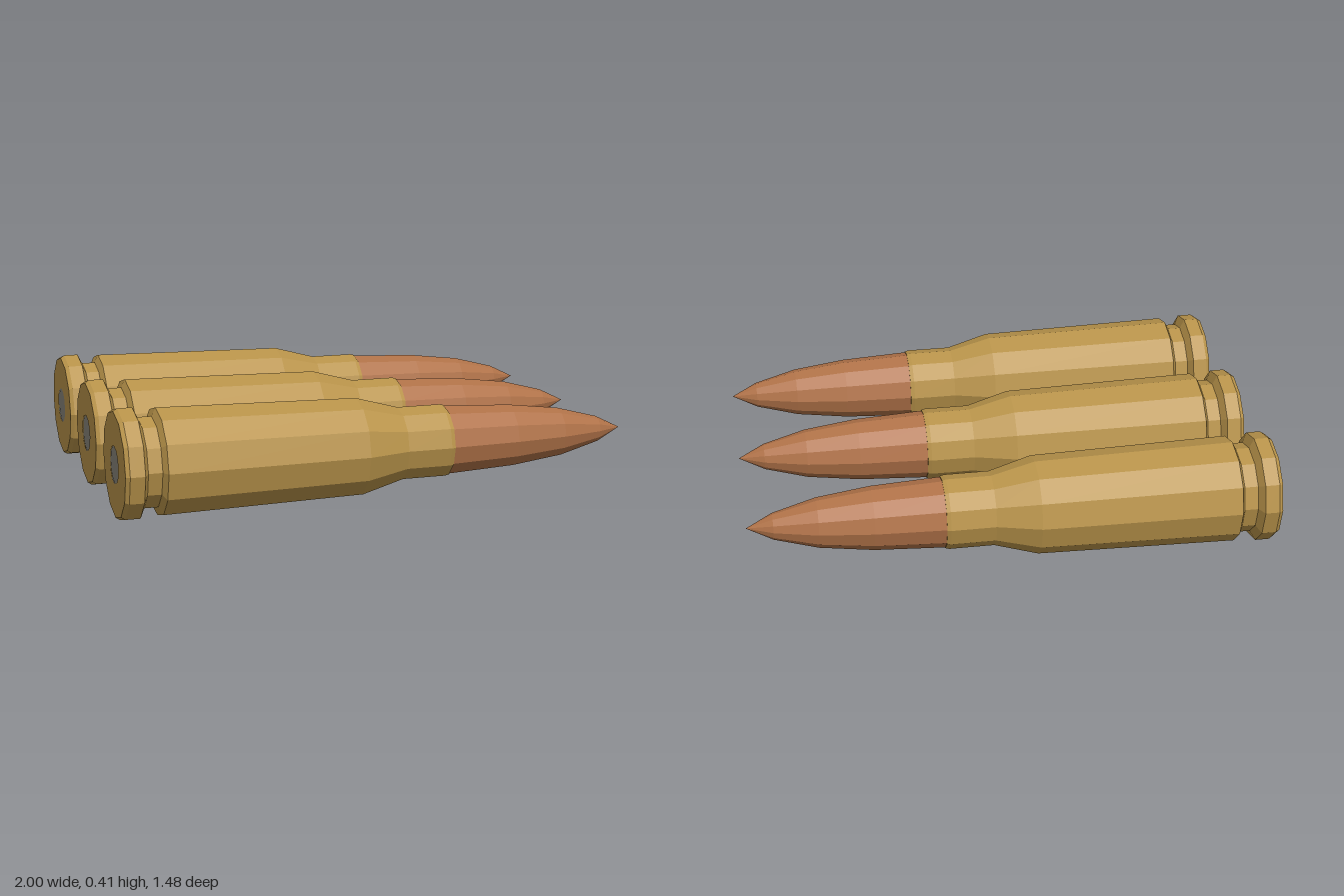
import * as THREE from 'three';

const SIDES = 12;
const RADIUS = 0.207;
const SPACING = 0.533;

const paint = (color) => new THREE.MeshStandardMaterial({ color, flatShading: true });

// Turned part lying along x, from [x, radius] pairs listed tail to tip
function turned(name, profile, material) {
  const points = profile.map(([x, r]) => new THREE.Vector2(r, x));
  const geometry = new THREE.LatheGeometry(points, SIDES);
  geometry.rotateZ(-Math.PI / 2);
  const mesh = new THREE.Mesh(geometry, material);
  mesh.name = name;
  return mesh;
}

export function createModel() {
  const brass = paint(0xb8934a);
  const copper = paint(0xb07248);
  const steel = paint(0x88847a);

  // Rim, extractor groove, tapered body, shoulder, neck and mouth
  const casing = [
    [-1, 0.07], [-1, 0.197], [-0.985, RADIUS], [-0.93, RADIUS],
    [-0.912, 0.17], [-0.86, 0.17], [-0.845, 0.201],
    [-0.085, 0.186], [0.08, 0.14], [0.25, 0.14], [0.265, 0.136], [0.265, 0.125],
  ];
  // Pointed ogive
  const bullet = [
    [0.262, 0.133], [0.53, 0.12], [0.735, 0.094], [0.9, 0.05], [1, 0],
  ];
  // Flat disc set into the base
  const primer = [[-0.999, 0], [-0.999, 0.07]];

  const model = new THREE.Group();
  model.name = 'cartridges';
  for (const i of [-1, 0, 1]) {
    const cartridge = new THREE.Group();
    cartridge.name = 'cartridge';
    cartridge.add(
      turned('casing', casing, brass),
      turned('bullet', bullet, copper),
      turned('primer', primer, steel),
    );
    cartridge.position.set(0, RADIUS, i * SPACING);
    model.add(cartridge);
  }
  return model;
}
